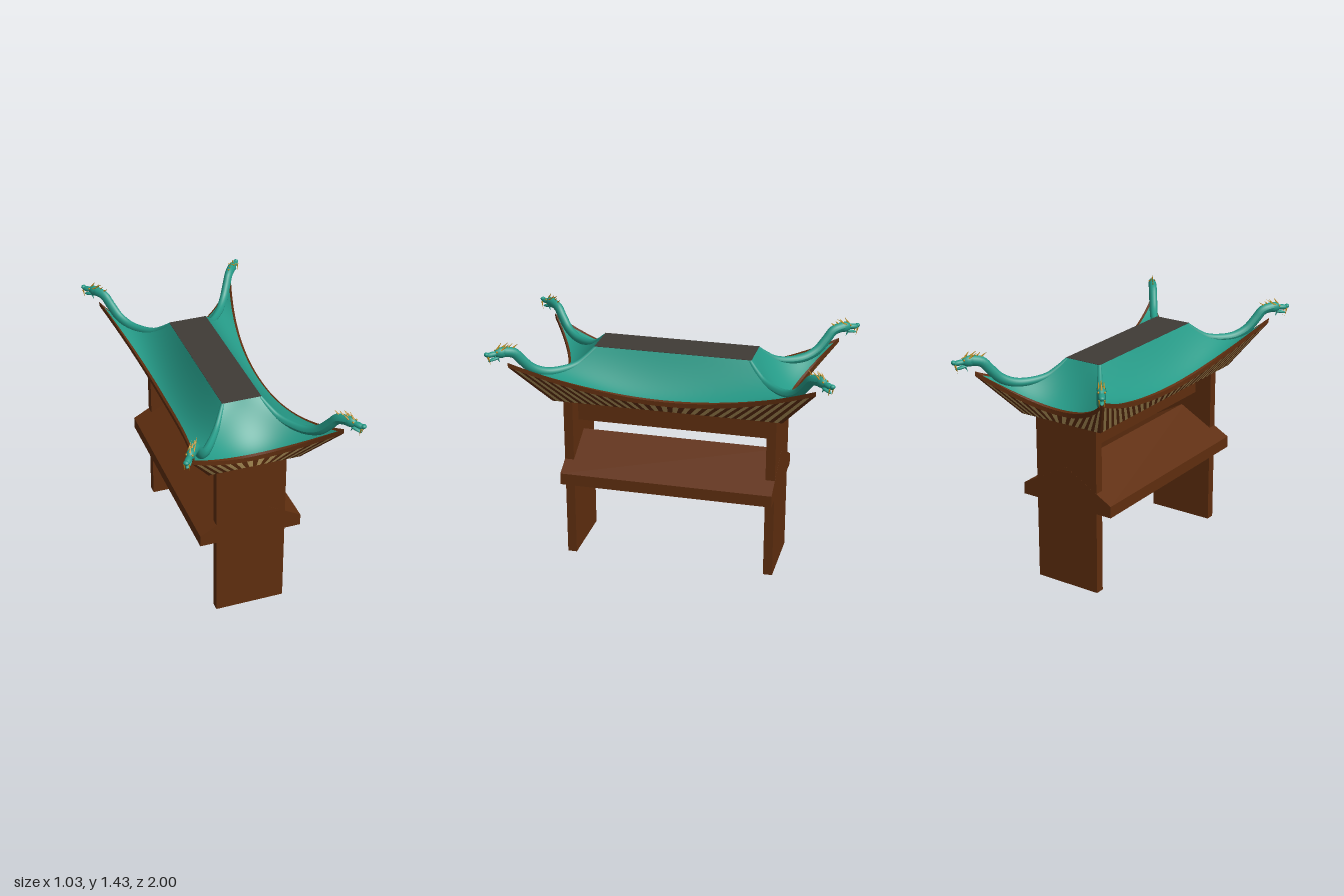
import * as THREE from 'three';

const mat = (name, color, side = THREE.FrontSide) => {
  const m = new THREE.MeshStandardMaterial({ color, side });
  m.name = name;
  return m;
};

// Grid surface from f(u, v); with `striped`, every other column takes the second material
function surface(f, nu, nv, striped = false) {
  const pos = [], idx = [];
  const g = new THREE.BufferGeometry();
  for (let i = 0; i <= nu; i++)
    for (let j = 0; j <= nv; j++) pos.push(...f(-1 + (2 * i) / nu, j / nv));
  for (let i = 0; i < nu; i++) {
    for (let j = 0; j < nv; j++) {
      const a = i * (nv + 1) + j, b = a + nv + 1;
      idx.push(a, b, a + 1, b, b + 1, a + 1);
    }
    if (striped) g.addGroup(i * nv * 6, nv * 6, i % 2);
  }
  g.setAttribute('position', new THREE.Float32BufferAttribute(pos, 3));
  g.setIndex(idx);
  g.computeVertexNormals();
  return g;
}

export function createModel() {
  const model = new THREE.Group();
  const wood = mat('brown wood', 0x5f2e0f, THREE.DoubleSide);
  const teal = mat('teal tile', 0x259a87, THREE.DoubleSide);
  const tan = mat('pale rafter', 0xb5955a, THREE.DoubleSide);
  const gold = mat('gold', 0xc08f20);
  const grey = mat('ridge grey', 0x403b36);

  const add = (parent, name, geo, m, x = 0, y = 0, z = 0) => {
    const mesh = new THREE.Mesh(geo, m);
    mesh.name = name;
    mesh.position.set(x, y, z);
    parent.add(mesh);
    return mesh;
  };
  const box = (name, w, h, d, m, x, y, z) =>
    add(model, name, new THREE.BoxGeometry(w, h, d), m, x, y, z);

  // Upright slabs, cross beam and ceiling
  for (const s of [-1, 1]) box('endSlab', 0.415, 1.02, 0.055, wood, 0, 0.51, s * 0.608);
  box('crossBeam', 0.2, 0.105, 1.16, wood, 0, 0.892, 0);
  box('ceiling', 0.54, 0.01, 1.36, wood, 0, 1.025, 0);

  // Gabled shelf running through both slabs
  const profile = new THREE.Shape([
    [-0.305, 0.5], [0.305, 0.5], [0.305, 0.57], [0, 0.738], [-0.305, 0.57],
  ].map(([x, y]) => new THREE.Vector2(x, y)));
  const shelf = new THREE.ExtrudeGeometry(profile, { depth: 1.272, bevelEnabled: false });
  add(model, 'gabledShelf', shelf, wood, 0, 0, -0.636);

  // Roof sides: ridge edge, upswept eave and base edge for u from -1 to 1
  const eaveY = (u) => 1.09 + 0.205 * u * u;
  const sides = [
    {
      name: 'long', columns: 51,
      top: (u) => [0.115, 1.32, 0.465 * u],
      eave: (u) => [0.303 + 0.127 * Math.abs(u) ** 2.2, eaveY(u), 0.885 * u],
      base: (u) => [0.27, 1.02, 0.68 * u],
    },
    {
      name: 'short', columns: 25,
      top: (u) => [0.115 * u, 1.32, 0.465],
      eave: (u) => [0.43 * u, eaveY(u), 0.69 + 0.195 * u * u],
      base: (u) => [0.27 * u, 1.02, 0.68],
    },
  ];
  const mix = (a, b, t) => a.map((p, i) => p + (b[i] - p) * t);
  for (const { name, columns, top, eave, base } of sides) {
    // Point on the concave tiled slope
    const slope = (u, v) => {
      const p = mix(top(u), eave(u), v);
      const c = 1.13 - 0.04 * u * u, w = 1 - v;
      p[1] = 1.32 * w * w + 2 * c * v * w + eaveY(u) * v * v;
      return p;
    };
    const drop = (p, d) => [p[0], p[1] - d, p[2]];
    // Cross-section of the brown eave board
    const board = (u, v) => {
      const inner = slope(u, 0.93), outer = eave(u);
      return [drop(inner, -0.003), drop(outer, -0.003), drop(outer, 0.024)][Math.round(v * 2)];
    };
    const rafters = (u, v) => mix(base(u), drop(eave(u), 0.024), v);
    for (const turn of [0, Math.PI]) {
      const side = new THREE.Group();
      side.name = name + 'RoofSide';
      side.rotation.y = turn;
      add(side, 'tiledSlope', surface(slope, 32, 14), teal);
      const trim = surface(board, 32, 2).toNonIndexed();
      trim.computeVertexNormals();
      add(side, 'eaveBoard', trim, wood);
      add(side, 'rafters', surface(rafters, columns, 1, true), [wood, tan]);
      model.add(side);
    }
  }
  box('ridgeTop', 0.23, 0.006, 0.93, grey, 0, 1.319, 0);

  // Dragon on each hip, built along local +x
  const spine = new THREE.CatmullRomCurve3([
    [-0.01, 1.31], [0.05, 1.262], [0.11, 1.225], [0.2, 1.205], [0.3, 1.208],
    [0.38, 1.243], [0.44, 1.303], [0.485, 1.352], [0.55, 1.368],
  ].map(([x, y]) => new THREE.Vector3(x, y, 0)));
  const rings = 40, around = 10;
  const body = new THREE.TubeGeometry(spine, rings, 1, around);
  const pos = body.attributes.position, p = new THREE.Vector3();
  for (let i = 0; i < pos.count; i++) {
    const t = Math.floor(i / (around + 1)) / rings;
    const c = spine.getPointAt(t);
    const r = 0.015 + 0.015 * Math.sin(Math.PI * Math.min(t, 0.8) * 0.62);
    p.fromBufferAttribute(pos, i).sub(c).multiplyScalar(r).add(c);
    pos.setXYZ(i, p.x, p.y, p.z * 0.85);
  }
  body.computeVertexNormals();

  const ball = new THREE.SphereGeometry(1, 14, 10);
  const cone = new THREE.ConeGeometry(1, 1, 6);
  const blob = (parent, name, m, [x, y, z], [a, b, c], tilt = 0) => {
    const mesh = add(parent, name, ball, m, x, y, z);
    mesh.scale.set(a, b, c);
    mesh.rotation.z = tilt;
  };
  const spike = (parent, name, m, [x, y, z], r, h, tilt) => {
    const mesh = add(parent, name, cone, m, x, y, z);
    mesh.scale.set(r, h, r);
    mesh.rotation.z = tilt;
  };
  for (const sx of [-1, 1]) for (const sz of [-1, 1]) {
    const d = new THREE.Group();
    d.name = 'hipDragon';
    d.position.set(sx * 0.115, 0, sz * 0.465);
    d.rotation.y = Math.atan2(-sz * 0.535, sx * 0.395);
    add(d, 'body', body, teal);
    blob(d, 'skull', teal, [0.555, 1.364, 0], [0.046, 0.031, 0.025]);
    blob(d, 'snout', teal, [0.612, 1.36, 0], [0.042, 0.016, 0.018], -0.1);
    blob(d, 'nose', teal, [0.645, 1.364, 0], [0.014, 0.012, 0.016]);
    blob(d, 'lowerJaw', teal, [0.598, 1.332, 0], [0.04, 0.009, 0.014], -0.25);
    spike(d, 'beard', teal, [0.575, 1.322, 0], 0.008, 0.04, 2.7);
    // Gold mane, horns, eyes and whiskers
    for (let i = 0; i < 4; i++)
      spike(d, 'maneSpike', gold, [0.478 + i * 0.03, 1.39 + i * 0.005, 0], 0.007, 0.05, 0.95 - i * 0.12);
    for (const s of [-1, 1]) {
      spike(d, 'horn', gold, [0.535, 1.398, s * 0.014], 0.006, 0.06, 1);
      blob(d, 'eye', gold, [0.588, 1.376, s * 0.017], [0.006, 0.006, 0.005]);
      spike(d, 'whisker', gold, [0.632, 1.328, s * 0.014], 0.005, 0.05, 2.9);
    }
    model.add(d);
  }
  return model;
}
